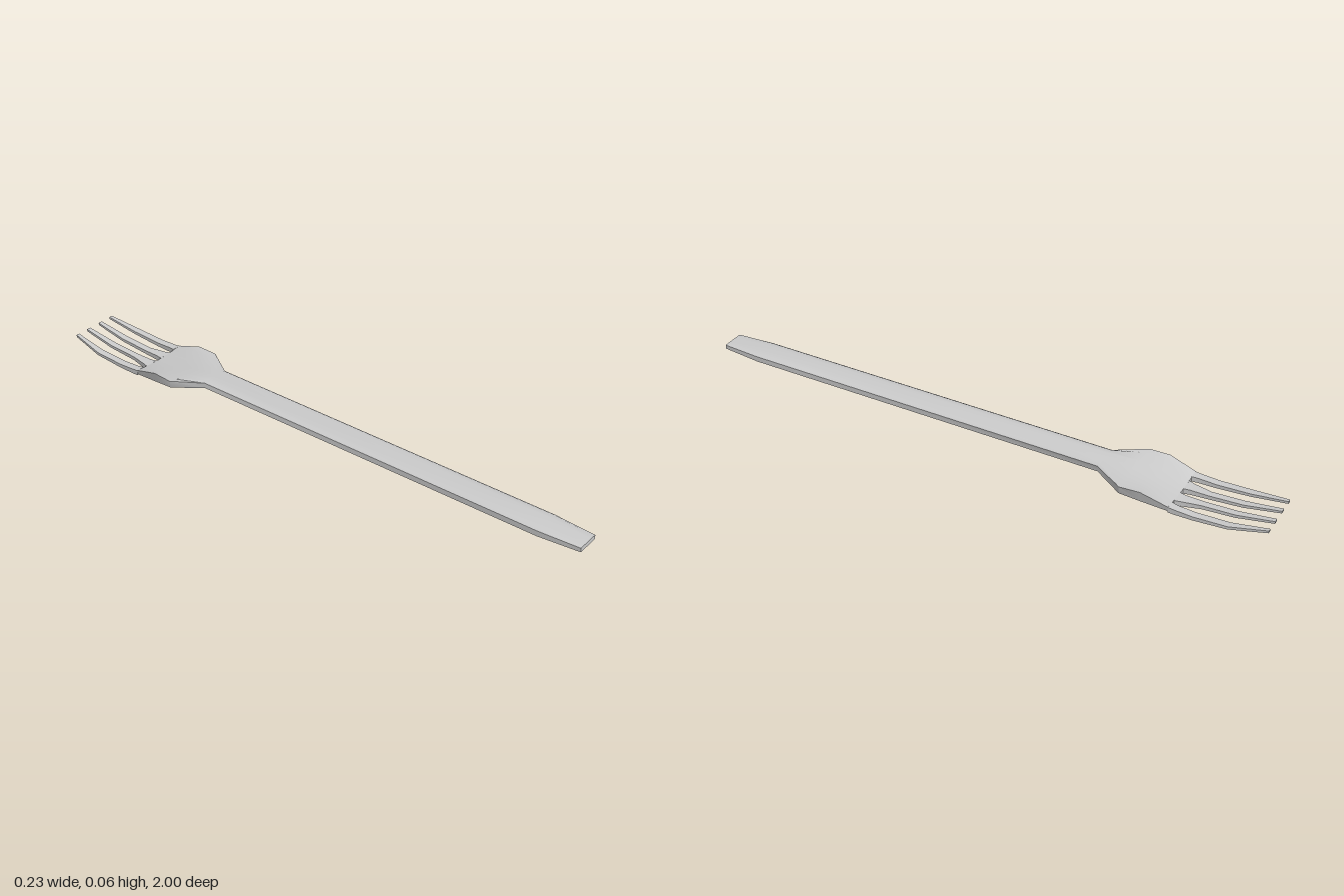
import * as THREE from 'three';
import { toCreasedNormals } from 'three/addons/utils/BufferGeometryUtils.js';

const material = new THREE.MeshStandardMaterial({ color: 0xcccccc });

// Skins closed sections ordered from +z to -z. Each section lists its bottom
// points left to right, then the same number of top points right to left.
function loft(name, sections) {
  const count = sections[0].length;
  const half = count / 2;
  const index = [];
  for (let r = 0; r < sections.length - 1; r++) {
    for (let i = 0; i < count; i++) {
      const a = r * count + i;
      const b = r * count + (i + 1) % count;
      index.push(a, a + count, b, b, a + count, b + count);
    }
  }
  // End caps, filled in strips between bottom and top points
  const last = (sections.length - 1) * count;
  for (let i = 0; i < half - 1; i++) {
    const [a, b, c, d] = [i, i + 1, count - 2 - i, count - 1 - i];
    index.push(a, b, c, a, c, d);
    index.push(last + a, last + c, last + b, last + a, last + d, last + c);
  }
  const geometry = new THREE.BufferGeometry();
  geometry.setAttribute('position', new THREE.Float32BufferAttribute(sections.flat(2), 3));
  geometry.setIndex(index);
  const mesh = new THREE.Mesh(toCreasedNormals(geometry, 0.6), material);
  mesh.name = name;
  return mesh;
}

// Section whose top and bottom run from a middle height to an edge height;
// a high power keeps the middle flat, a power of 2 makes a bowl.
function bodySection([z, width, topMid, topEdge, botMid, botEdge, botScale, power]) {
  const steps = [-1, -0.8, -0.4, 0, 0.4, 0.8, 1];
  const height = (mid, edge, t) => mid + (edge - mid) * Math.abs(t) ** power;
  const bottom = steps.map(t => [t * width * botScale, height(botMid, botEdge, t), z]);
  const top = steps.map(t => [t * width, height(topMid, topEdge, t), z]).reverse();
  return [...bottom, ...top];
}

// Rectangular tine section, mirrored by side
function tineSection([z, inner, outer, top, bottom], side) {
  const [x0, x1] = side > 0 ? [inner, outer] : [-outer, -inner];
  return [[x0, bottom, z], [x1, bottom, z], [x1, top, z], [x0, top, z]];
}

export function createModel() {
  const fork = new THREE.Group();
  fork.name = 'fork';

  // Handle widening into the bowl:
  // z, half width, top middle, top edge, bottom middle, bottom edge, bottom scale, power
  const bodyRows = [
    [1, 0.04, 0.05, 0.049, 0.034, 0.035, 1, 6],
    [0.86, 0.05, 0.058, 0.05, 0.027, 0.031, 1, 6],
    [0.67, 0.05, 0.058, 0.05, 0.027, 0.031, 1, 6],
    [-0.43, 0.05, 0.058, 0.05, 0.027, 0.031, 1, 6],
    [-0.53, 0.114, 0.045, 0.05, 0.018, 0.023, 0.96, 2],
    [-0.6, 0.112, 0.033, 0.053, 0.01, 0.016, 0.94, 2],
    [-0.69, 0.105, 0.02, 0.027, 0, 0.01, 0.97, 2],
  ];
  fork.add(loft('handleAndBowl', bodyRows.map(bodySection)));

  // Tines: z, inner x, outer x, top, bottom
  const tines = {
    InnerTine: [
      [-0.69, 0.011, 0.058, 0.021, 0.002],
      [-0.71, 0.015, 0.052, 0.02, 0.003],
      [-0.77, 0.016, 0.04, 0.02, 0.007],
      [-0.88, 0.017, 0.04, 0.026, 0.016],
      [-1, 0.021, 0.036, 0.045, 0.037],
    ],
    OuterTine: [
      [-0.69, 0.074, 0.105, 0.026, 0.008],
      [-0.71, 0.078, 0.105, 0.024, 0.007],
      [-0.77, 0.079, 0.105, 0.021, 0.008],
      [-0.88, 0.08, 0.104, 0.026, 0.016],
      [-1, 0.075, 0.087, 0.045, 0.037],
    ],
  };
  for (const side of [1, -1]) {
    for (const [name, rows] of Object.entries(tines)) {
      const label = (side > 0 ? 'left' : 'right') + name;
      fork.add(loft(label, rows.map(row => tineSection(row, side))));
    }
  }
  return fork;
}
